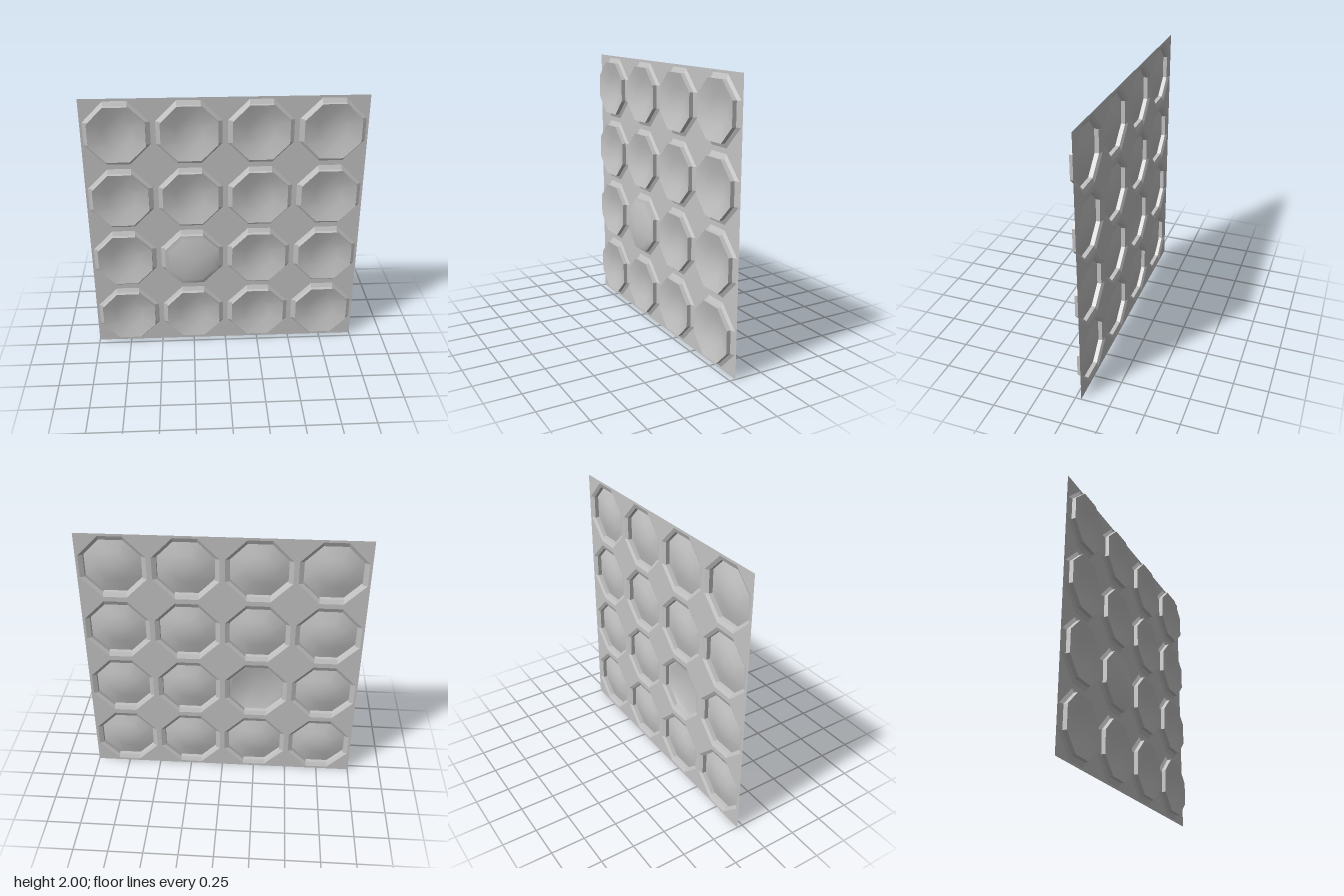
import * as THREE from 'three';

const BACK = -0.043;   // depth of the flat sheet
const SHOULDER = -0.03; // where the straight wall meets the flare
const A = 0.2, H = 0.083, F = 0.232; // cell apothem, half edge, flare reach

// Octagon with corners on (reach, H) and its mirrors, counter-clockwise
const octagon = (reach) => [
  [reach, H], [H, reach], [-H, reach], [-reach, H],
  [-reach, -H], [-H, -reach], [H, -reach], [reach, -H],
];

// Skin between successive 8-point rings, optionally closed by a centre point
function skin(rings, centreZ) {
  const pos = [], idx = [];
  rings.forEach((ring) => ring.forEach((p) => pos.push(...p)));
  for (let r = 0; r < rings.length - 1; r++) {
    for (let i = 0; i < 8; i++) {
      const j = (i + 1) % 8, a = r * 8 + i, b = r * 8 + j;
      idx.push(a, b, b + 8, a, b + 8, a + 8);
    }
  }
  if (centreZ !== undefined) {
    const base = (rings.length - 1) * 8, c = rings.length * 8;
    pos.push(0, 0, centreZ);
    for (let i = 0; i < 8; i++) idx.push(base + i, base + (i + 1) % 8, c);
  }
  const g = new THREE.BufferGeometry();
  g.setAttribute('position', new THREE.Float32BufferAttribute(pos, 3));
  g.setIndex(idx);
  g.computeVertexNormals();
  return g;
}

const ringAt = (reach, z) => octagon(reach).map(([x, y]) => [x, y, z]);
const scaledRing = (s, zOf) => octagon(A).map(([x, y], i) => [x * s, y * s, zOf(i)]);

export function createModel() {
  const model = new THREE.Group();
  const grey = new THREE.MeshStandardMaterial({ color: 0xc4c4c4, side: THREE.DoubleSide });
  grey.name = 'light grey plastic';

  // Faceted rim: flare up from the sheet, then a straight wall
  let rimGeo = skin([ringAt(F, BACK), ringAt(A, SHOULDER), ringAt(A, 0)]).toNonIndexed();
  rimGeo.computeVertexNormals();

  // Shallow smooth dish, sunk inwards
  const dishGeo = skin([scaledRing(1, () => 0), scaledRing(0.5, () => -0.028)], -0.04);

  // Popped cap: pushed forwards, with a crease at the lower right
  const poppedGeo = skin(
    [scaledRing(1, () => 0), scaledRing(0.83, (i) => (i >= 6 ? 0.02 : 0.002))], 0.043);

  // Flat sheet with a hole for every cell
  const sheet = new THREE.Shape([[-1, 0], [1, 0], [1, 2], [-1, 2]]
    .map(([x, y]) => new THREE.Vector2(x, y)));

  for (let row = 0; row < 4; row++) {
    for (let col = 0; col < 4; col++) {
      const cx = -0.75 + col * 0.5, cy = 0.25 + row * 0.5;
      const hole = octagon(F).map(([x, y]) => new THREE.Vector2(cx + x, cy + y));
      sheet.holes.push(new THREE.Path(hole.reverse()));

      const popped = row === 1 && col === 1;
      const cell = new THREE.Group();
      cell.name = popped ? 'poppedBubble' : 'bubble';
      const rim = new THREE.Mesh(rimGeo, grey);
      rim.name = 'rim';
      const cap = new THREE.Mesh(popped ? poppedGeo : dishGeo, grey);
      cap.name = popped ? 'poppedCap' : 'dish';
      cell.add(rim, cap);
      cell.position.set(cx, cy, 0);
      model.add(cell);
    }
  }

  const sheetMesh = new THREE.Mesh(new THREE.ShapeGeometry(sheet), grey);
  sheetMesh.name = 'sheet';
  sheetMesh.position.z = BACK;
  model.add(sheetMesh);
  return model;
}
